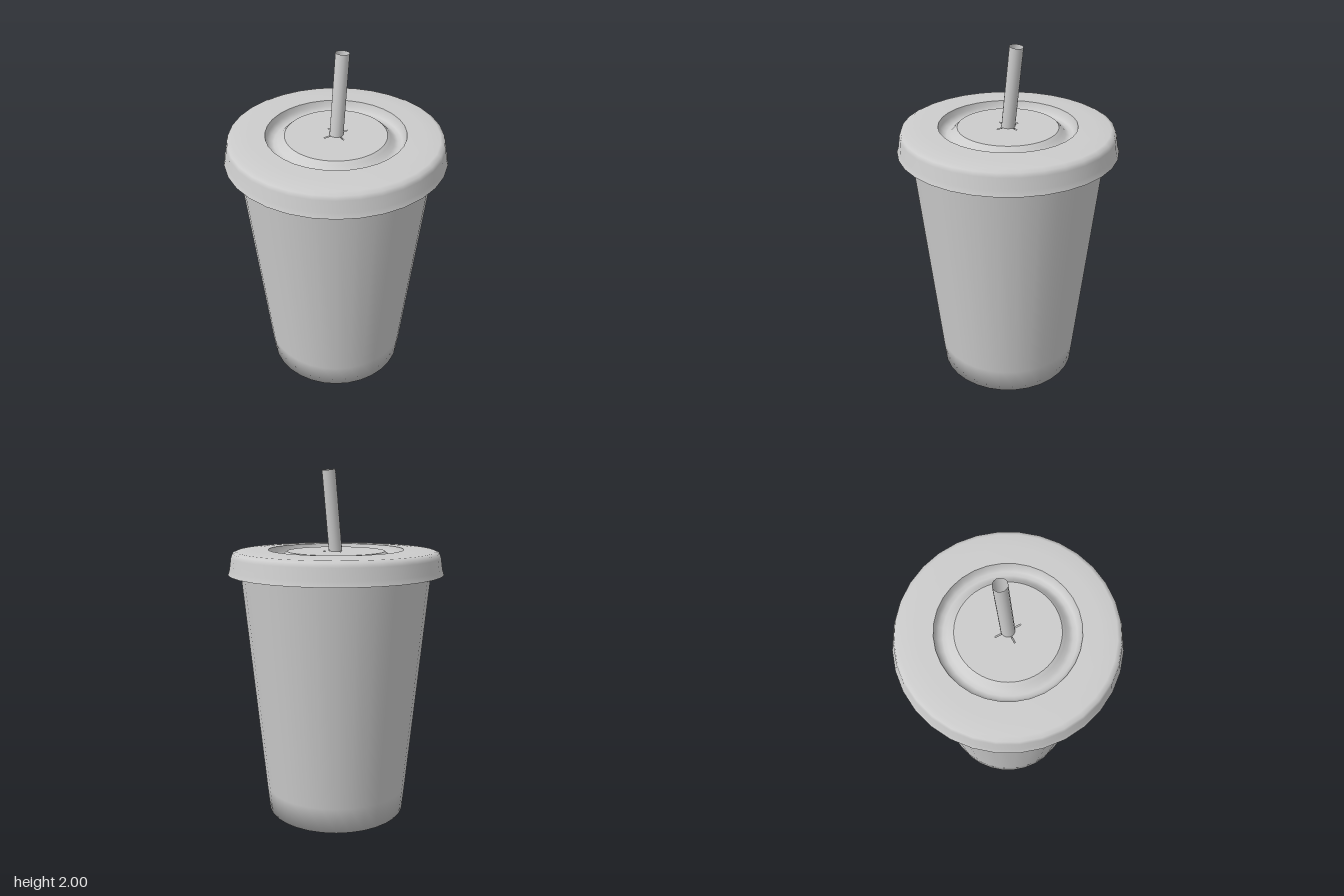
import * as THREE from 'three';

const SIDES = 32;

export function createModel() {
  const model = new THREE.Group();
  const grey = new THREE.MeshStandardMaterial({ color: 0xcccccc, side: THREE.DoubleSide });
  grey.name = 'plain grey';

  const add = (name, geometry, parent = model) => {
    const mesh = new THREE.Mesh(geometry, grey);
    mesh.name = name;
    parent.add(mesh);
    return mesh;
  };
  // Smooth surface of revolution; separate profiles meet in sharp edges
  const turned = (profile) =>
    new THREE.LatheGeometry(profile.map(([r, y]) => new THREE.Vector2(r, y)), SIDES);

  // Tapered cup, its base softly shaded into the wall
  add('cup', turned([[0, 0], [0.405, 0], [0.42, 0.15], [0.542, 1.42], [0.552, 1.52]]));

  // Lid: flared skirt, rounded top, groove and raised centre
  const lid = new THREE.Group();
  lid.name = 'lid';
  model.add(lid);
  add('lidSkirt', turned([
    [0.615, 1.42], [0.605, 1.45], [0.596, 1.515], [0.588, 1.538],
    [0.565, 1.548], [0.48, 1.553], [0.385, 1.555],
  ]), lid);
  add('lidInnerSkirt', turned([[0.555, 1.52], [0.585, 1.5], [0.596, 1.45], [0.606, 1.42], [0.615, 1.42]]), lid);
  add('lidGroove', turned([
    [0.385, 1.555], [0.378, 1.525], [0.362, 1.505], [0.34, 1.5],
    [0.318, 1.508], [0.298, 1.53], [0.28, 1.545],
  ]), lid);

  // Centre disc with a cross-shaped slit for the straw
  const disc = new THREE.Shape();
  disc.absarc(0, 0, 0.28, 0, Math.PI * 2);
  const L = 0.075, W = 0.003;
  const cross = [
    [L, -W], [L, W], [W, W], [W, L], [-W, L], [-W, W],
    [-L, W], [-L, -W], [-W, -W], [-W, -L], [W, -L], [W, -W],
  ];
  disc.holes.push(new THREE.Path(cross.map(([x, y]) => new THREE.Vector2(x, y))));
  const discGeometry = new THREE.ShapeGeometry(disc, SIDES);
  discGeometry.rotateX(-Math.PI / 2).translate(0, 1.545, 0);
  add('lidCentre', discGeometry, lid);

  // Hollow leaning straw reaching down into the cup
  const top = new THREE.Vector3(0.05, 1.995, -0.015);
  const axis = new THREE.Vector3(0.105, 1, -0.035).normalize();
  const length = 1.8;
  const straw = add('straw', new THREE.CylinderGeometry(0.038, 0.038, length, 16, 1, true));
  straw.quaternion.setFromUnitVectors(new THREE.Vector3(0, 1, 0), axis);
  straw.position.copy(top).addScaledVector(axis, -length / 2);

  return model;
}
